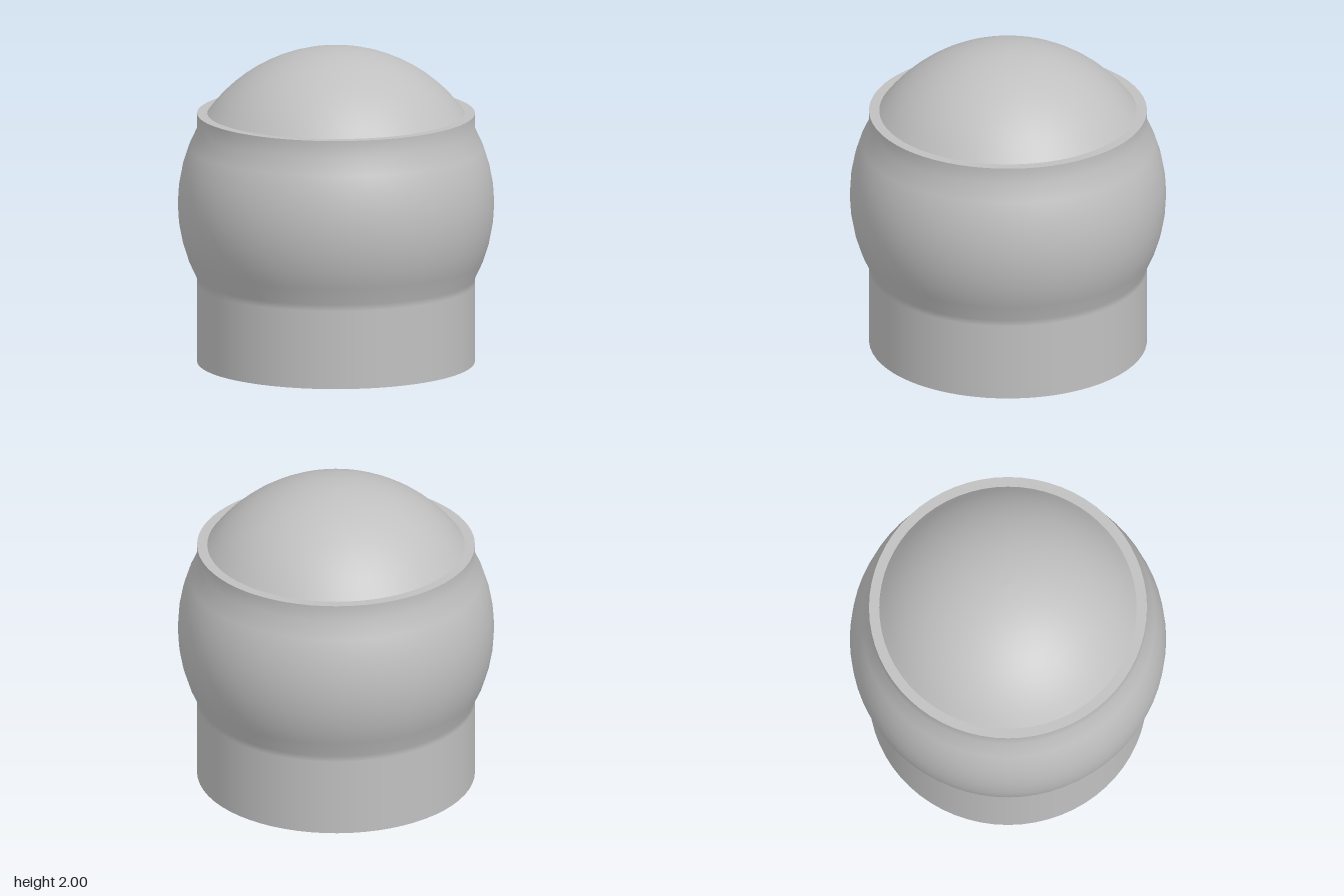
import * as THREE from 'three';

const R = 0.99, CY = 1.01;          // ball radius and centre height
const COLLAR = 0.87, RIM_Y = 1.585; // sleeve radius and top edge
const SEGMENTS = 64;

// Points on the ball's outline between two heights, evenly spaced by angle
function ballArc(y0, y1, steps) {
  const a0 = Math.asin(Math.max(-1, Math.min(1, (y0 - CY) / R)));
  const a1 = Math.asin(Math.max(-1, Math.min(1, (y1 - CY) / R)));
  const points = [];
  for (let i = 0; i <= steps; i++) {
    const a = a0 + (a1 - a0) * i / steps;
    points.push([Math.max(0, R * Math.cos(a)), CY + R * Math.sin(a)]);
  }
  return points;
}

export function createModel() {
  const group = new THREE.Group();
  const grey = new THREE.MeshStandardMaterial({ color: 0xc0c0c0 });
  grey.name = 'grey';

  const addLathe = (name, profile) => {
    const points = profile.map(([x, y]) => new THREE.Vector2(x, y));
    const mesh = new THREE.Mesh(new THREE.LatheGeometry(points, SEGMENTS), grey);
    mesh.name = name;
    group.add(mesh);
  };

  // Heights where the ball passes through the sleeve
  const h = Math.sqrt(R * R - COLLAR * COLLAR);
  const rimInner = Math.sqrt(R * R - (RIM_Y - CY) ** 2);

  // Flat underside
  addLathe('base', [[0, 0], [COLLAR, 0]]);
  // Sleeve wall blending softly into the bulging ball
  addLathe('body', [
    [COLLAR, 0], [COLLAR, CY - h - 0.04],
    ...ballArc(CY - h, CY + h, 8),
    [COLLAR, RIM_Y],
  ]);
  // Flat ring at the top of the sleeve
  addLathe('rim', [[COLLAR, RIM_Y], [rimInner, RIM_Y]]);
  // Top of the ball
  addLathe('dome', ballArc(RIM_Y, CY + R, 12));

  return group;
}
